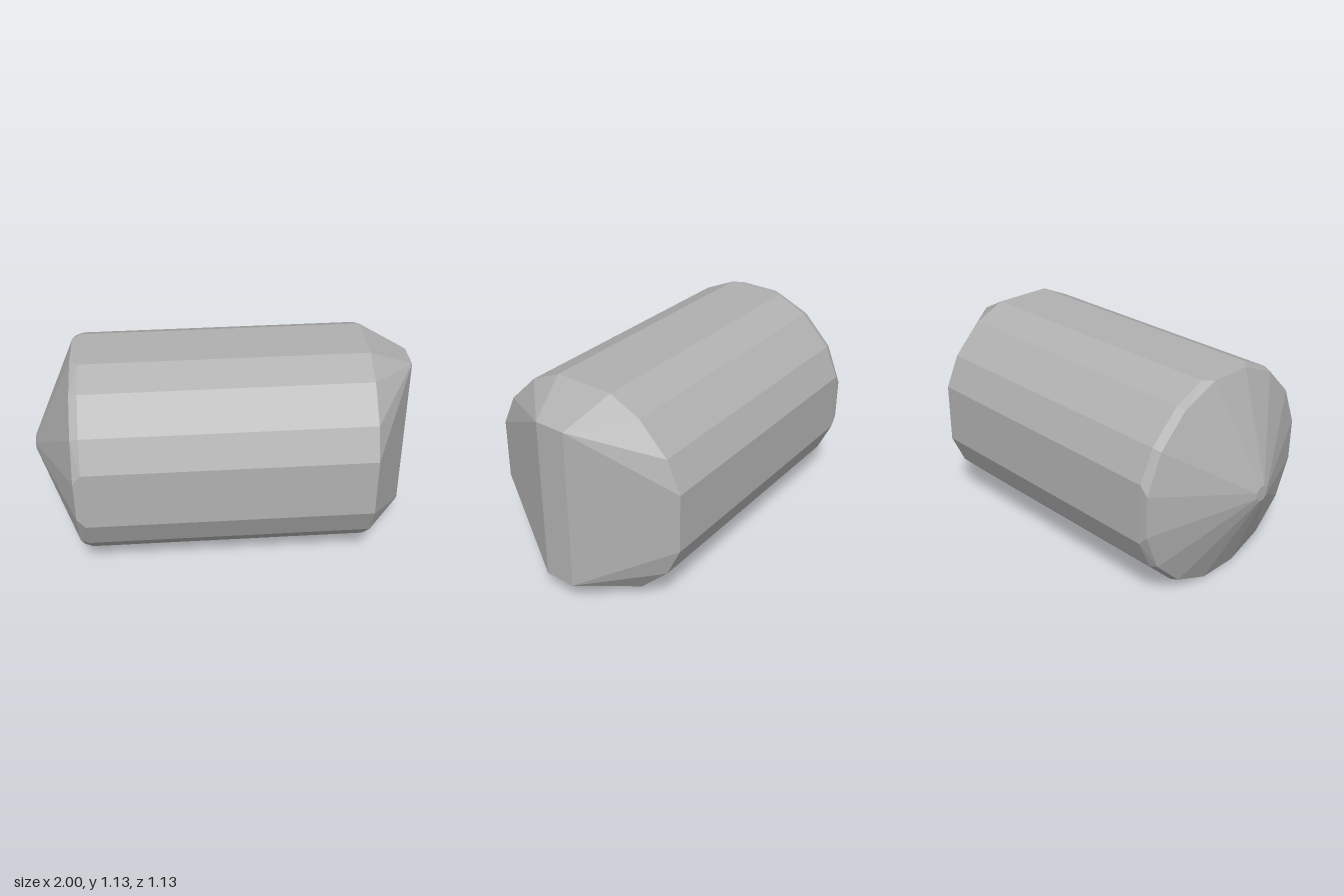
import * as THREE from 'three';
import { ConvexGeometry } from 'three/addons/geometries/ConvexGeometry.js';

export function createModel() {
  const group = new THREE.Group();
  const grey = new THREE.MeshStandardMaterial({ color: 0xb0b0b0 });
  grey.name = 'grey';
  const points = [];
  const add = (x, y, z) => points.push(new THREE.Vector3(x, y, z));

  // sixteen-sided barrel section, broad on top, bottom, front and back
  const quarter = [[0.16, 0.558], [0.325, 0.482], [0.482, 0.325], [0.558, 0.16]];
  for (const x of [-0.722, 0.75])
    for (const [y, z] of quarter)
      for (const sy of [-1, 1])
        for (const sz of [-1, 1]) add(x, sy * y, sz * z);

  // rounder rim of the pointed end, and its small blunt tip
  const ring = (x, radius, sides) => {
    for (let i = 0; i < sides; i++) {
      const a = ((i + 0.5) / sides) * Math.PI * 2;
      add(x, Math.cos(a) * radius, Math.sin(a) * radius);
    }
  };
  ring(-0.765, 0.566, 16);
  ring(-1, 0.042, 8);

  // tall narrow flat of the chisel end
  for (const y of [-0.4375, 0.4375])
    for (const z of [-0.082, 0.082]) add(0.993, y, z);

  const geometry = new ConvexGeometry(points);
  // the body lies very slightly askew
  geometry.rotateZ(0.009);
  geometry.rotateY(-0.01);
  geometry.translate(0, 0.569, -0.002);

  const barrel = new THREE.Mesh(geometry, grey);
  barrel.name = 'facetedBarrel';
  group.add(barrel);
  return group;
}
